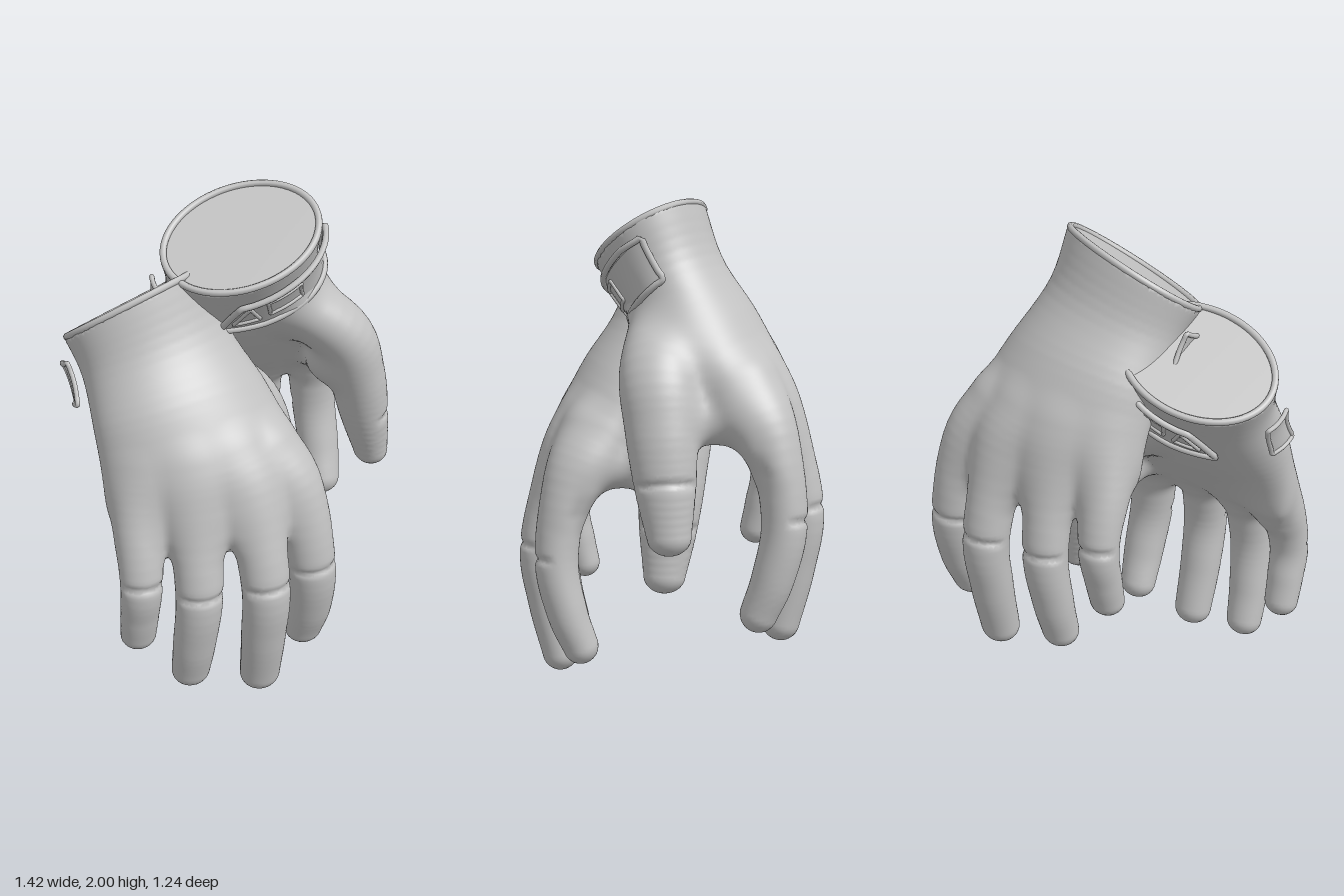
import * as THREE from 'three';

const V = (a) => new THREE.Vector3(...a);
const grey = new THREE.MeshStandardMaterial({ color: 0xc2c2c2, side: THREE.DoubleSide });
grey.name = 'grey';
const spline = (pts) => new THREE.CatmullRomCurve3(pts, false, 'catmullrom', 0.5);

// Palm cross-sections from cuff to finger roots: centre, half width, half thickness
const sections = [
  [[-0.36, 1.59, -0.07], [0.305, 0.075, -0.07], [0.04, 0.135, 0.21]],
  [[-0.32, 1.41, 0.02], [0.3, 0.05, -0.05], [0.03, 0.09, 0.2]],
  [[-0.255, 1.2, 0.17], [0.365, 0.03, -0.03], [0, 0.09, 0.19]],
  [[-0.2, 1.0, 0.31], [0.41, 0, 0.01], [0, 0.06, 0.165]],
  [[-0.18, 0.87, 0.375], [0.41, 0, 0.03], [0, 0.03, 0.125]],
  [[-0.17, 0.79, 0.41], [0.38, 0, 0.03], [0, 0.01, 0.09]],
  [[-0.17, 0.74, 0.425], [0.35, 0, 0.03], [0, 0.005, 0.07]],
];
const [centres, widths, depths] = [0, 1, 2].map((k) => spline(sections.map((s) => V(s[k]))));
const arch = (t) => 0.09 * Math.min(1, Math.max(0, t * 2 - 0.4));

// Point on the palm: t along the hand, angle around it, grow pushes it outward
function palmPoint(t, degrees, grow) {
  const a = THREE.MathUtils.degToRad(degrees), c = Math.cos(a);
  const p = centres.getPoint(t)
    .addScaledVector(widths.getPoint(t), c * (1 + grow))
    .addScaledVector(depths.getPoint(t), Math.sin(a) * (1 + grow));
  p.z -= arch(t) * c * c;
  return p;
}

// Smooth union of two distances
function blend(a, b, k) {
  const h = Math.max(0, k - Math.abs(a - b)) / k;
  return Math.min(a, b) - h * h * k * 0.25;
}

// Sampled sections with the vectors that turn a point into section coordinates
const slices = Array.from({ length: 33 }, (_, i) => {
  const t = i / 32, c = centres.getPoint(t), u = widths.getPoint(t), v = depths.getPoint(t);
  const n = u.clone().cross(v), k = 1 / n.lengthSq();
  return {
    c, U: u.length(), W: v.length(), bend: arch(t),
    a: v.clone().cross(n).multiplyScalar(k), b: n.clone().cross(u).multiplyScalar(k), n: n.normalize(),
  };
});
const along = (d, s, x, y, z) => d.x * (x - s.c.x) + d.y * (y - s.c.y) + d.z * (z - s.c.z);
function sliceDistance(s, x, y, z) {
  const a0 = along(s.a, s, x, y, z);
  const zz = z + s.bend * Math.min(1, a0 * a0);
  const a = along(s.a, s, x, y, zz), b = along(s.b, s, x, y, zz);
  const k1 = Math.hypot(a, b);
  return (k1 * (k1 - 1)) / Math.max(1e-4, Math.hypot(a / s.U, b / s.W));
}
function palmDistance(x, y, z) {
  const last = slices.length - 1, end = along(slices[last].n, slices[last], x, y, z);
  let i = 0, s0 = along(slices[0].n, slices[0], x, y, z), s1 = s0;
  for (; i < last; i++) {
    s1 = along(slices[i + 1].n, slices[i + 1], x, y, z);
    if (s1 < 0) break;
    s0 = s1;
  }
  const f = i === last ? 0 : Math.max(0, s0 / (s0 - s1));
  const side = sliceDistance(slices[i], x, y, z) * (1 - f) + (f ? sliceDistance(slices[i + 1], x, y, z) * f : 0);
  return -blend(-side, -end, 0.09);
}

// Finger as a chain of tapered segments from x, y, z, radius points, widened in x and z
// and creased on its back at creaseT
function digit(points, [sx, sz], creaseT, back) {
  const n = 24, path = spline(points.map((p) => new THREE.Vector3(p[0] / sx, p[1], p[2] / sz)));
  const radii = spline(points.map((p) => new THREE.Vector3(p[3], 0, 0)));
  const pts = Array.from({ length: n + 1 }, (_, i) => path.getPoint(i / n));
  const rad = pts.map((_, i) => radii.getPoint(i / n).x);
  const cp = path.getPoint(creaseT), cd = path.getTangent(creaseT), cr = radii.getPoint(creaseT).x;
  return (px, y, pz) => {
    const x = px / sx, z = pz / sz;
    let best = 1e9;
    for (let i = 0; i < n; i++) {
      const p = pts[i], q = pts[i + 1];
      const ex = q.x - p.x, ey = q.y - p.y, ez = q.z - p.z;
      const wx = x - p.x, wy = y - p.y, wz = z - p.z;
      const f = Math.min(1, Math.max(0, (wx * ex + wy * ey + wz * ez) / (ex * ex + ey * ey + ez * ez)));
      const dx = wx - ex * f, dy = wy - ey * f, dz = wz - ez * f;
      best = Math.min(best, Math.sqrt(dx * dx + dy * dy + dz * dz) - rad[i] - (rad[i + 1] - rad[i]) * f);
    }
    const h = cd.x * (x - cp.x) + cd.y * (y - cp.y) + cd.z * (z - cp.z);
    const side = ((x - cp.x) * back[0] + (z - cp.z) * back[1]) / cr;
    return best + 0.012 * Math.exp(-((h / 0.014) ** 2)) * Math.min(1, Math.max(0, side * 2));
  };
}
const fingers = [
  [[0.05, 1.05, 0.32, 0.085], [0.14, 0.86, 0.405, 0.095], [0.19, 0.55, 0.45, 0.089], [0.205, 0.33, 0.41, 0.083], [0.2, 0.18, 0.355, 0.073]],
  [[-0.12, 1.06, 0.34, 0.085], [-0.07, 0.88, 0.44, 0.097], [-0.043, 0.55, 0.53, 0.09], [-0.04, 0.3, 0.505, 0.084], [-0.035, 0.076, 0.455, 0.076]],
  [[-0.3, 1.05, 0.34, 0.085], [-0.3, 0.86, 0.41, 0.095], [-0.307, 0.54, 0.485, 0.087], [-0.32, 0.3, 0.46, 0.08], [-0.325, 0.14, 0.42, 0.072]],
  [[-0.45, 1.02, 0.28, 0.08], [-0.505, 0.85, 0.355, 0.088], [-0.526, 0.6, 0.425, 0.077], [-0.53, 0.44, 0.4, 0.071], [-0.53, 0.335, 0.375, 0.066]],
].map((p) => digit(p, [1.1, 1], 0.5, [0, 1]));
const thumb = digit([[-0.17, 1.3, 0.01, 0.12], [0.08, 1.1, -0.03, 0.128], [0.172, 0.9, -0.02, 0.118],
  [0.225, 0.69, -0.005, 0.1], [0.27, 0.5, 0.01, 0.072]], [1, 1.18], 0.75, [1, 0]);
const web = digit([[0.08, 0.95, 0.04, 0.1], [0.1, 0.91, 0.17, 0.085], [0.1, 0.92, 0.3, 0.09]], [1, 1], 0, [0, 0]);

// Everything fleshy melts together; fingers hardly merge with each other
function handDistance(x, y, z) {
  const row = fingers.reduce((d, f) => blend(d, f(x, y, z), 0.03), 1e3);
  const thenar = blend(thumb(x, y, z), web(x, y, z), 0.08);
  const flesh = blend(blend(palmDistance(x, y, z), thenar, 0.08), row, 0.1);
  return Math.max(flesh, 0.012 - along(slices[0].n, slices[0], x, y, z));
}

// Mesh the zero level of a distance function on a grid, then settle the points onto it
function surface(field, min, size, h) {
  const dim = size.map((s) => Math.ceil(s / h)), step = [1, dim[0], dim[0] * dim[1]];
  const total = step[2] * dim[2], val = new Float32Array(total), cell = new Int32Array(total).fill(-1);
  const at = (id) => [id % dim[0], Math.floor(id / step[1]) % dim[1], Math.floor(id / step[2])];
  for (let id = 0; id < total; id++) val[id] = field(...at(id).map((g, a) => min[a] + g * h));
  const pos = [], nor = [], idx = [];
  for (let id = 0; id < total; id++) {
    const g = at(id);
    if (g.some((q, a) => q >= dim[a] - 1)) continue;
    const sum = [0, 0, 0];
    let count = 0;
    for (let corner = 0; corner < 8; corner++) {
      const o = [corner & 1, (corner >> 1) & 1, corner >> 2];
      const from = id + o[0] + o[1] * step[1] + o[2] * step[2];
      for (let a = 0; a < 3; a++) {
        if (o[a] || val[from] < 0 === val[from + step[a]] < 0) continue;
        const f = val[from] / (val[from] - val[from + step[a]]);
        for (let c = 0; c < 3; c++) sum[c] += o[c] + (c === a ? f : 0);
        count++;
      }
    }
    if (!count) continue;
    const p = sum.map((s, a) => min[a] + (g[a] + s / count) * h);
    let n;
    for (let pass = 0; pass < 2; pass++) {
      const d = field(...p), e = 0.01;
      n = V([0, 1, 2].map((a) => field(...p.map((q, c) => q + (c === a ? e : 0))) - field(...p.map((q, c) => q - (c === a ? e : 0)))));
      n.normalize();
      const move = Math.max(-h / 2, Math.min(h / 2, d));
      p[0] -= n.x * move; p[1] -= n.y * move; p[2] -= n.z * move;
    }
    cell[id] = pos.length / 3;
    pos.push(...p);
    nor.push(n.x, n.y, n.z);
  }
  for (let id = step[2] + step[1] + 1; id < total - step[2]; id++) {
    for (let a = 0; a < 3; a++) {
      if (val[id] < 0 === val[id + step[a]] < 0) continue;
      const b = step[(a + 1) % 3], c = step[(a + 2) % 3];
      const q = [id - b - c, id - c, id, id - b].map((i) => cell[i]);
      if (q.includes(-1)) continue;
      if (val[id] >= 0) q.reverse();
      idx.push(q[0], q[1], q[2], q[0], q[2], q[3]);
    }
  }
  const geo = new THREE.BufferGeometry();
  geo.setAttribute('position', new THREE.Float32BufferAttribute(pos, 3));
  geo.setAttribute('normal', new THREE.Float32BufferAttribute(nor, 3));
  geo.setIndex(idx);
  return geo;
}

// Raised cord following a straight-sided outline of [degrees, t] corners on the wrist
function cord(outline, grow, radius) {
  const pts = outline.flatMap((a, i) => {
    const b = outline[(i + 1) % outline.length];
    return [0, 0.2, 0.4, 0.6, 0.8].map((f) => palmPoint(a[1] + (b[1] - a[1]) * f, a[0] + (b[0] - a[0]) * f, grow));
  });
  return new THREE.TubeGeometry(new THREE.CatmullRomCurve3(pts, true), 90, radius, 8, true);
}

// Curved sheet between an upper and a lower edge on the wrist
function sheet(from, to, upper, lower, grow) {
  const g = new THREE.PlaneGeometry(1, 1, 16, 4), p = g.attributes.position;
  for (let i = 0; i < p.count; i++) {
    const f = p.getX(i) + 0.5, k = 0.5 - p.getY(i);
    const q = palmPoint(upper(f) * (1 - k) + lower(f) * k, from + (to - from) * f, grow);
    p.setXYZ(i, q.x, q.y, q.z);
  }
  g.computeVertexNormals();
  return g;
}

const strapEdge = [[244, 0.245], [262, 0.12], [300, 0.085], [340, 0.06], [362, 0.06], [362, 0.18], [315, 0.21], [275, 0.235]];
const strapHoles = [
  [[255, 0.215], [268, 0.14], [273, 0.205]],
  [[281, 0.13], [308, 0.115], [308, 0.18], [281, 0.195]],
];

function makeHand(name, mirrored, body) {
  const hand = new THREE.Group();
  hand.name = name;
  const add = (part, geometry) => {
    if (mirrored) {
      geometry.scale(1, 1, -1);
      const ix = geometry.index.array;
      for (let i = 0; i < ix.length; i += 3) [ix[i], ix[i + 1]] = [ix[i + 1], ix[i]];
    }
    const mesh = new THREE.Mesh(geometry, grey);
    mesh.name = part;
    hand.add(mesh);
  };

  // Hand and the soft lip of its cuff
  add('hand', body.clone());
  const ring = Array.from({ length: 40 }, (_, j) => palmPoint(0.008, j * 9, -0.035));
  add('cuffLip', new THREE.TubeGeometry(new THREE.CatmullRomCurve3(ring, true), 80, 0.014, 8, true));

  // Wrist strap with framed openings, and the tab on the outer side
  add('strap', sheet(246, 362, (f) => (f < 0.14 ? 0.23 - f * 0.79 : 0.126 - f * 0.066), (f) => 0.245 - f * 0.065, 0.06));
  add('strapFrame', cord(strapEdge, 0.075, 0.013));
  strapHoles.forEach((hole) => add('strapOpeningFrame', cord(hole, 0.07, 0.008)));
  add('tab', sheet(178, 204, () => 0.1, () => 0.24, 0.17));
  add('tabFrame', cord([[178, 0.1], [204, 0.1], [204, 0.24], [178, 0.24]], 0.17, 0.01));
  return hand;
}

export function createModel() {
  const model = new THREE.Group();
  model.name = 'pairOfHands';
  const body = surface(handDistance, [-0.74, -0.04, -0.4], [1.2, 1.92, 1.12], 0.016);
  const back = makeHand('backHand', true, body);
  back.position.set(0.385, 0.26, 0);
  model.add(makeHand('frontHand', false, body), back);
  return model;
}
